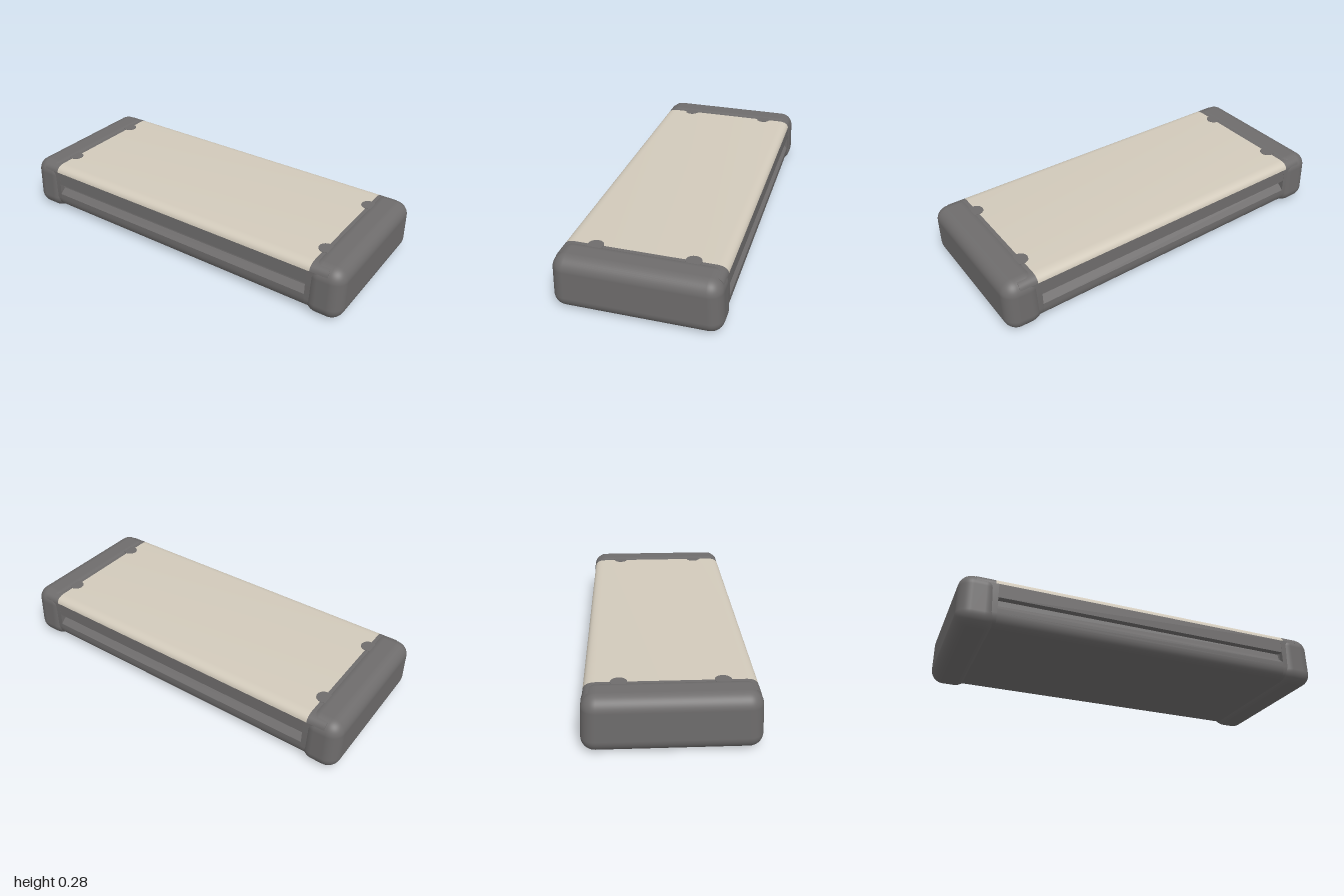
import * as THREE from 'three';
import { toCreasedNormals } from 'three/addons/utils/BufferGeometryUtils.js';
import { RoundedBoxGeometry } from 'three/addons/geometries/RoundedBoxGeometry.js';

const TOP = 0.28, BOTTOM = 0.015, SEAM = 0.243, HALF = 0.405;

// Extrude a cross-section (z, y) along x from x0 to x1
function extrudeAlongX(shape, x0, x1) {
  const g = new THREE.ExtrudeGeometry(shape, { depth: x1 - x0, bevelEnabled: false, curveSegments: 8 });
  g.rotateY(Math.PI / 2);
  g.translate(x0, 0, 0);
  return toCreasedNormals(g, 0.6);
}

// Case section below the panel seam, optionally with a slot on each side
function caseSection(slotted) {
  const s = new THREE.Shape();
  s.moveTo(-0.34, BOTTOM);
  s.lineTo(0.34, BOTTOM);
  s.quadraticCurveTo(HALF, BOTTOM, HALF + 0.004, 0.08);
  if (slotted) {
    s.lineTo(HALF + 0.004, 0.105);
    s.lineTo(HALF - 0.03, 0.135);
    s.lineTo(HALF - 0.035, 0.168);
    s.lineTo(HALF, 0.168);
  }
  s.lineTo(HALF, SEAM);
  s.lineTo(-HALF, SEAM);
  if (slotted) {
    s.lineTo(-HALF, 0.168);
    s.lineTo(-HALF + 0.035, 0.168);
    s.lineTo(-HALF + 0.03, 0.135);
    s.lineTo(-HALF - 0.004, 0.105);
  }
  s.lineTo(-HALF - 0.004, 0.08);
  s.quadraticCurveTo(-HALF, BOTTOM, -0.34, BOTTOM);
  return s;
}

// Curved top section above the seam
function panelSection() {
  const s = new THREE.Shape();
  s.moveTo(-HALF, SEAM);
  s.lineTo(HALF, SEAM);
  s.quadraticCurveTo(HALF - 0.005, TOP - 0.002, HALF - 0.055, TOP);
  s.lineTo(-HALF + 0.055, TOP);
  s.quadraticCurveTo(-HALF + 0.005, TOP - 0.002, -HALF, SEAM);
  return s;
}

export function createModel() {
  const group = new THREE.Group();
  const dark = new THREE.MeshStandardMaterial({ color: 0x6e6c6c });
  dark.name = 'dark grey';
  const cream = new THREE.MeshStandardMaterial({ color: 0xd2cabb });
  cream.name = 'cream';

  function add(name, geometry, material) {
    const mesh = new THREE.Mesh(geometry, material);
    mesh.name = name;
    group.add(mesh);
    return mesh;
  }

  // Slotted centre and its pale top panel
  add('slottedCase', extrudeAlongX(caseSection(true), -0.81, 0.81), dark);
  add('topPanel', extrudeAlongX(panelSection(), -0.825, 0.825), cream);

  for (const side of [-1, 1]) {
    const label = side > 0 ? 'left' : 'right';
    const span = (a, b) => (side > 0 ? [a, b] : [-b, -a]);

    // Solid ends that close the slots and carry the top into the bumpers
    add(label + 'CaseEnd', extrudeAlongX(caseSection(false), ...span(0.81, 0.9)), dark);
    add(label + 'TopEnd', extrudeAlongX(panelSection(), ...span(0.825, 0.92)), dark);

    // Rounded bumper, slightly wider towards its base
    const bumper = new RoundedBoxGeometry(0.2, 0.285, 0.842, 6, 0.07);
    bumper.translate(side * 0.9, 0.1425, 0);
    const p = bumper.attributes.position;
    for (let i = 0; i < p.count; i++) p.setZ(i, p.getZ(i) * (1 - 0.1 * p.getY(i)));
    add(label + 'Bumper', bumper, dark);

    // Small tabs overlapping the panel edge
    for (const z of [-0.24, 0.24]) {
      const tab = new THREE.CylinderGeometry(0.04, 0.04, 0.006, 20);
      tab.translate(side * 0.828, TOP - 0.001, z);
      add(label + 'PanelTab', tab, dark);
    }
  }
  return group;
}
